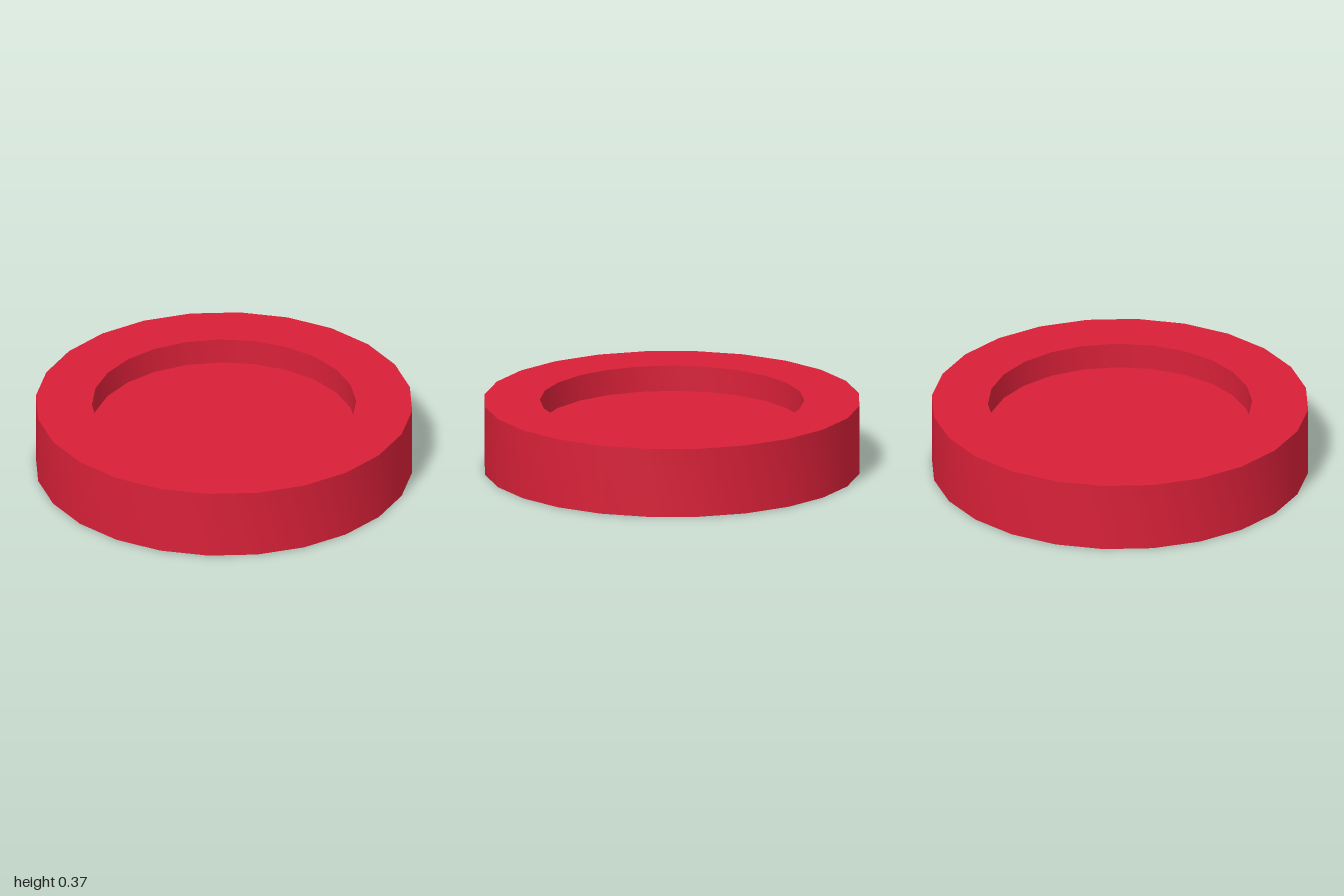
import * as THREE from 'three';
import { toCreasedNormals } from 'three/addons/utils/BufferGeometryUtils.js';

const SIDES = 24, HEIGHT = 0.373, FLOOR = 0.234;
const OUTER = 1, INNER = 0.7;
const TWIST = THREE.MathUtils.degToRad(-8.5); // the bore is turned against the rim

// Corners of a regular polygon
function polygon(radius, turn) {
  return Array.from({ length: SIDES }, (_, i) => {
    const a = turn + (i / SIDES) * Math.PI * 2;
    return new THREE.Vector2(radius * Math.cos(a), radius * Math.sin(a));
  });
}

export function createModel() {
  const model = new THREE.Group();
  model.name = 'ringDisc';
  const red = new THREE.MeshStandardMaterial({ color: 0xd82038 });
  const redThin = red.clone();
  redThin.side = THREE.DoubleSide;

  // Thick ring, smooth around its walls with sharp rims
  const shape = new THREE.Shape(polygon(OUTER, 0));
  shape.holes.push(new THREE.Path(polygon(INNER, TWIST)));
  const ringGeometry = new THREE.ExtrudeGeometry(shape, { depth: HEIGHT, bevelEnabled: false });
  ringGeometry.rotateX(-Math.PI / 2);
  const ring = new THREE.Mesh(toCreasedNormals(ringGeometry, 0.6), red);
  ring.name = 'ring';
  model.add(ring);

  // Thin floor across the bore, set above mid-height
  const floorGeometry = new THREE.CircleGeometry(INNER, SIDES, TWIST);
  floorGeometry.rotateX(-Math.PI / 2);
  const floor = new THREE.Mesh(floorGeometry, redThin);
  floor.name = 'floor';
  floor.position.y = FLOOR;
  model.add(floor);

  return model;
}
